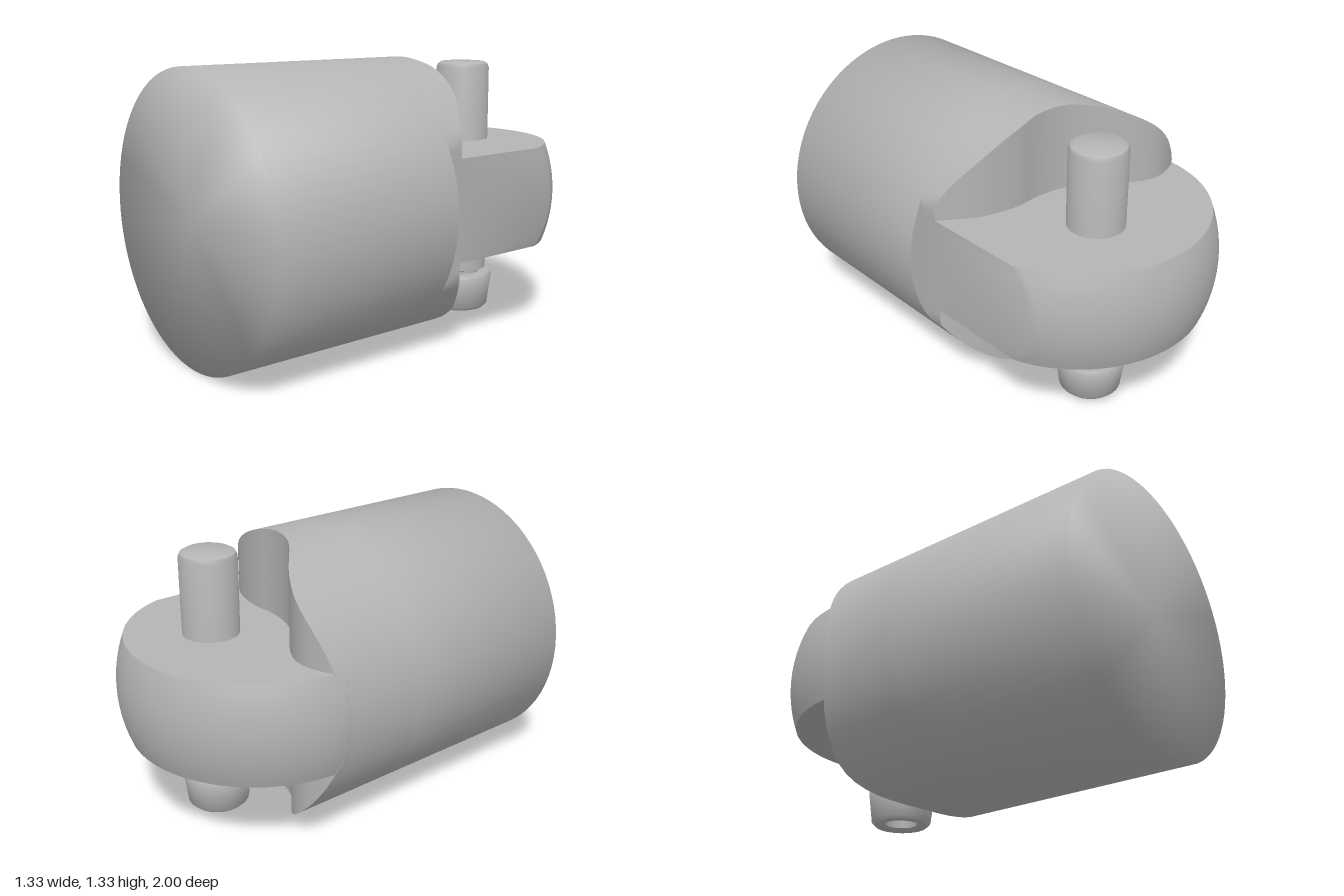
import * as THREE from 'three';
import { toCreasedNormals } from 'three/addons/utils/BufferGeometryUtils.js';

const R = 0.665;      // barrel radius, also the height of its axis
const FLAT = 0.585;   // x of the side flat
const STEP = 0.05;    // z where the side flat begins
const N = 76;         // sides, chosen so a vertex falls on the edge of the flat
const BALL = -0.335;  // z of the centre of the rounded tail

// Wavy plan line where the barrel ends, as z for a given x
const wave = new THREE.SplineCurve([
  [-0.665, -0.335], [-0.6, -0.4], [-0.45, -0.44], [-0.31, -0.39], [-0.1, -0.235],
  [0.08, -0.19], [0.24, -0.195], [0.42, -0.15], [0.585, -0.04],
].map(([x, z]) => new THREE.Vector2(x, z))).getPoints(120);

function waveZ(x) {
  const i = Math.max(1, wave.findIndex((p) => p.x >= x - 1e-6));
  const a = wave[i - 1], b = wave[i];
  return THREE.MathUtils.lerp(a.y, b.y, THREE.MathUtils.clamp((x - a.x) / (b.x - a.x), 0, 1));
}

// Closed ring around the barrel; zOf gives z for each x
function ring(limit, zOf) {
  return Array.from({ length: N + 1 }, (_, i) => {
    const t = (i % N) / N * Math.PI * 2;
    const x = Math.min(R * Math.cos(t), limit);
    return new THREE.Vector3(x, R + R * Math.sin(t), zOf(x));
  });
}

// Triangles joining two rings
function loft(a, b) {
  const out = [];
  for (let i = 0; i < a.length - 1; i++) {
    out.push(a[i], b[i], b[i + 1], a[i], b[i + 1], a[i + 1]);
  }
  return out;
}

function creased(points, angle) {
  return toCreasedNormals(new THREE.BufferGeometry().setFromPoints(points), angle);
}

// Front of the barrel: wall and end cap sharing smooth normals
function frontGeometry() {
  const points = [...ring(R, () => 1).slice(0, N), ...ring(R, () => STEP).slice(0, N),
    new THREE.Vector3(0, R, 1)];
  const index = [];
  for (let i = 0; i < N; i++) {
    const j = (i + 1) % N;
    index.push(i, N + i, N + j, i, N + j, j, 2 * N, i, j);
  }
  const g = new THREE.BufferGeometry().setFromPoints(points);
  g.setIndex(index);
  g.computeVertexNormals();
  return g;
}

// Rear of the barrel: step, flatted wall and wavy end wall
function rearGeometry() {
  const start = ring(FLAT, () => STEP);
  const end = ring(FLAT, waveZ);
  const tris = [...loft(ring(R, () => STEP), start), ...loft(start, end)];
  for (let i = 0; i < N / 2; i++) {
    const t0 = end[i], t1 = end[i + 1], b0 = end[N - i], b1 = end[N - i - 1];
    tris.push(t0, b0, t1, t1, b0, b1);
  }
  return creased(tris, 0.6);
}

// Tail plate: a slice of a ball with the side flat, running into the barrel
function tailGeometry() {
  const low = 0.43, high = 0.91, layers = 12, steps = 56;
  const outline = (y) => {
    const r = Math.sqrt(R * R - (y - R) ** 2);
    const p = [new THREE.Vector3(-r + 0.1, y, 0)];
    const stop = Math.acos(FLAT / r);
    for (let i = 0; i <= steps; i++) {
      const t = THREE.MathUtils.lerp(Math.PI, stop, i / steps);
      p.push(new THREE.Vector3(r * Math.cos(t), y, BALL - r * Math.sin(t)));
    }
    p.push(new THREE.Vector3(FLAT, y, 0), p[0].clone());
    return p;
  };
  const rows = Array.from({ length: layers + 1 }, (_, k) => outline(low + (high - low) * k / layers));
  const tris = [];
  for (let k = 0; k < layers; k++) tris.push(...loft(rows[k + 1], rows[k]).reverse());
  const top = rows[layers], bottom = rows[0];
  const cTop = new THREE.Vector3(0, high, BALL), cLow = new THREE.Vector3(0, low, BALL);
  for (let i = 0; i < top.length - 1; i++) {
    tris.push(cTop, top[i + 1], top[i], cLow, bottom[i], bottom[i + 1]);
  }
  return creased(tris, 0.6);
}

function lathe(profile) {
  const points = profile.map(([r, y]) => new THREE.Vector2(r, y));
  return toCreasedNormals(new THREE.LatheGeometry(points, 36), 0.7);
}

export function createModel() {
  const model = new THREE.Group();
  const grey = new THREE.MeshStandardMaterial({ color: 0xb4b4b4 });
  grey.name = 'grey metal';

  const add = (name, geometry, parent = model) => {
    const mesh = new THREE.Mesh(geometry, grey);
    mesh.name = name;
    parent.add(mesh);
    return mesh;
  };

  add('barrelFront', frontGeometry());
  add('barrelRear', rearGeometry());
  const tail = add('tailPlate', tailGeometry());
  // Wall winding follows the clockwise plan outline
  tail.geometry = orientOutward(tail.geometry, new THREE.Vector3(0, R, BALL));

  // Upright bolt through the tail plate
  const bolt = new THREE.Group();
  bolt.name = 'bolt';
  bolt.position.set(0.085, 0, -0.54);
  model.add(bolt);
  add('boltShank', lathe([[0, 0.2], [0.1, 0.2], [0.1, 0.225], [0.132, 0.235], [0.132, 1.27],
    [0.124, 1.29], [0.105, 1.3], [0, 1.3]]), bolt);
  add('boltHead', lathe([[0, 0.11], [0.075, 0.11], [0.08, 0.035], [0.1, 0.022], [0.13, 0.023],
    [0.147, 0.04], [0.166, 0.19], [0.155, 0.208], [0, 0.212]]), bolt);
  return model;
}

// Turn every triangle of a convex solid to face away from its centre
function orientOutward(geometry, centre) {
  const pos = geometry.attributes.position;
  const points = Array.from({ length: pos.count }, (_, i) => new THREE.Vector3().fromBufferAttribute(pos, i));
  for (let i = 0; i < points.length; i += 3) {
    const [a, b, c] = points.slice(i, i + 3);
    const normal = b.clone().sub(a).cross(c.clone().sub(a));
    if (normal.dot(a.clone().sub(centre)) < 0) [points[i + 1], points[i + 2]] = [c, b];
  }
  return creased(points, 0.6);
}
